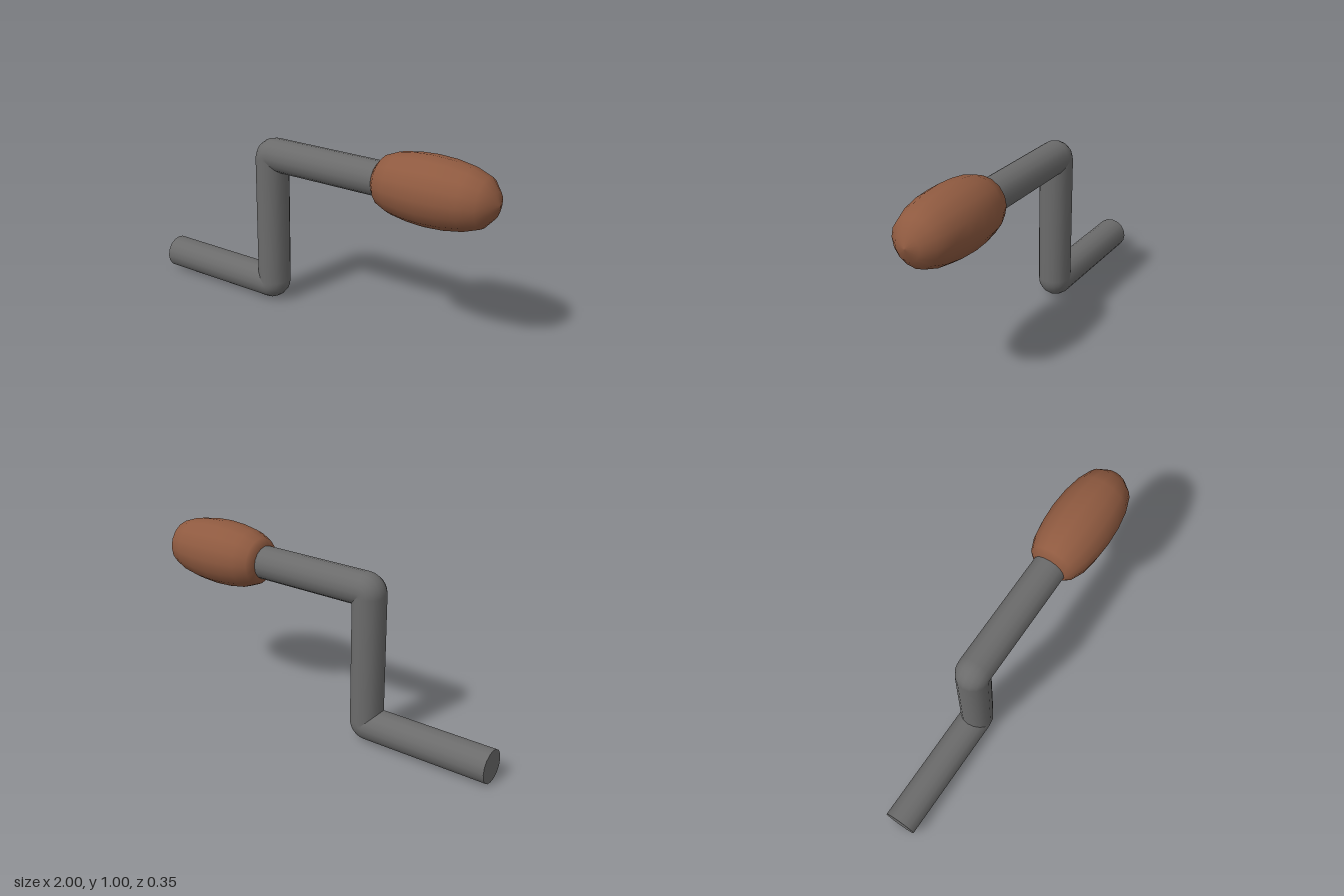
import * as THREE from 'three';

const R = 0.088;      // rod radius
const BEND = 0.025;   // tight bend of the rod's centre line
const SIDES = 16;
const LOW = 0.088, HIGH = 0.822, CRANK_X = -0.285;

const steel = new THREE.MeshStandardMaterial({ color: 0x6b6b6b });
const wood = new THREE.MeshStandardMaterial({ color: 0x8f5a40 });

const v = (x, y) => new THREE.Vector3(x, y, 0);

function add(group, name, geometry, material) {
  const mesh = new THREE.Mesh(geometry, material);
  mesh.name = name;
  group.add(mesh);
  return mesh;
}

// Straight piece of rod between two points
function rod(group, name, a, b) {
  const mesh = add(group, name, new THREE.CylinderGeometry(R, R, a.distanceTo(b), SIDES), steel);
  mesh.position.copy(a).lerp(b, 0.5);
  mesh.quaternion.setFromUnitVectors(new THREE.Vector3(0, 1, 0), b.clone().sub(a).normalize());
}

// Rounded corner between two straight pieces
function elbow(group, name, a, corner, b) {
  const curve = new THREE.QuadraticBezierCurve3(a, corner, b);
  add(group, name, new THREE.TubeGeometry(curve, 8, R, SIDES), steel);
}

export function createModel() {
  const model = new THREE.Group();
  model.name = 'crankHandle';

  // Z-shaped rod: axle, crank arm and grip shaft
  const lowIn = v(CRANK_X - BEND, LOW), lowOut = v(CRANK_X, LOW + BEND);
  const highIn = v(CRANK_X, HIGH - BEND), highOut = v(CRANK_X + BEND, HIGH);
  rod(model, 'axle', v(-1, LOW), lowIn);
  elbow(model, 'lowerElbow', lowIn, v(CRANK_X, LOW), lowOut);
  rod(model, 'crankArm', lowOut, highIn);
  elbow(model, 'upperElbow', highIn, v(CRANK_X, HIGH), highOut);
  rod(model, 'gripShaft', highOut, v(0.45, HIGH));

  // Egg-shaped wooden grip turned about the shaft: [radius, x]
  const profile = [
    [0, 0.37], [0.088, 0.37], [0.125, 0.4], [0.154, 0.47], [0.168, 0.56], [0.173, 0.65],
    [0.168, 0.75], [0.151, 0.85], [0.122, 0.93], [0.065, 0.98], [0, 1],
  ].map(([r, x]) => new THREE.Vector2(r, x));
  const grip = add(model, 'grip', new THREE.LatheGeometry(profile, SIDES), wood);
  grip.rotation.z = -Math.PI / 2;
  grip.position.y = HIGH;

  return model;
}
